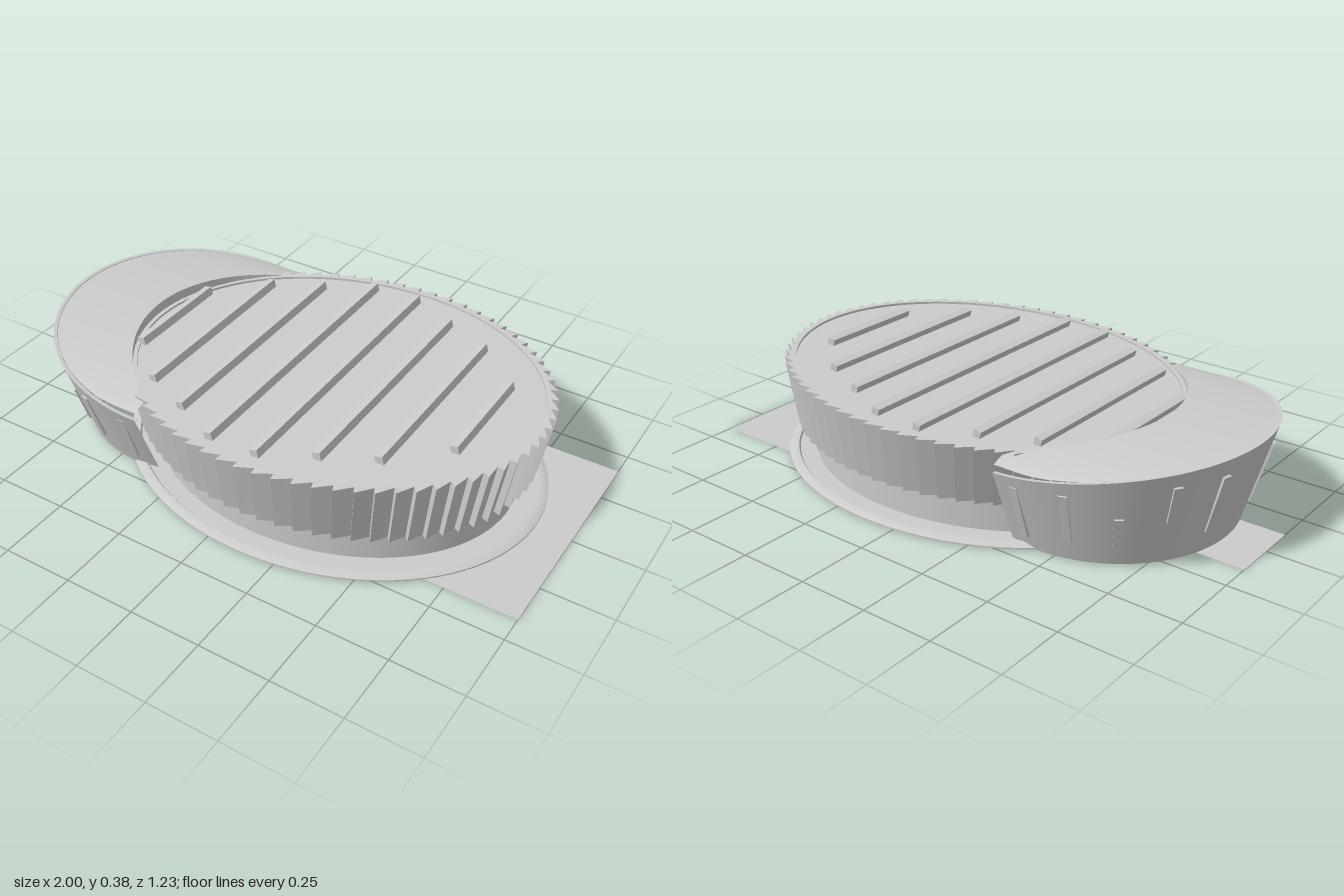
import * as THREE from 'three';
import { toCreasedNormals } from 'three/addons/utils/BufferGeometryUtils.js';

const CX = 0.11;        // centre of the oval hall
const AX = -0.43;       // centre of the round annex
const material = new THREE.MeshStandardMaterial({ color: 0xcccccc, side: THREE.DoubleSide });

// Height of the hall's sloping rim, and of the annex's rim
const rimY = x => 0.3376 + 0.0315 * x;
const annexY = x => 0.36 - 0.137 * (x + 0.96);

// Skin a surface over rows of points of equal length
function loft(rows, crease = 0.6) {
  const n = rows[0].length, index = [];
  for (let r = 0; r < rows.length - 1; r++) {
    for (let i = 0; i < n - 1; i++) {
      const a = r * n + i, b = a + n;
      index.push(a, b, a + 1, a + 1, b, b + 1);
    }
  }
  const g = new THREE.BufferGeometry();
  g.setAttribute('position', new THREE.Float32BufferAttribute(rows.flat(2), 3));
  g.setIndex(index);
  return toCreasedNormals(g, crease);
}

// Closed oval row; y may be a number or a rule of x
function oval(a, b, y, n = 96) {
  return Array.from({ length: n + 1 }, (_, i) => {
    const t = (i / n) * Math.PI * 2, x = CX + a * Math.cos(t);
    return [x, typeof y === 'number' ? y : y(x), b * Math.sin(t)];
  });
}

// Closed saw-tooth row: each panel swings out, then steps back in
const TEETH = 72;
function toothed(a, b, depth, y) {
  const row = [];
  for (let i = 0; i <= TEETH; i++) {
    const t = (i / TEETH) * Math.PI * 2;
    for (const d of [depth, 0]) {
      const x = CX + (a + d) * Math.cos(t);
      row.push([x, typeof y === 'number' ? y : y(x), (b + d) * Math.sin(t)]);
    }
  }
  return row;
}

// Arc of the annex, ending on a straight line at x = -0.34
function annexArc(r, y, n = 64) {
  const start = Math.acos(0.09 / r);
  return Array.from({ length: n + 1 }, (_, i) => {
    const t = start + (i / n) * (Math.PI * 2 - 2 * start);
    const x = AX + r * Math.cos(t);
    return [x, typeof y === 'number' ? y : y(x), r * Math.sin(t)];
  });
}

export function createModel() {
  const model = new THREE.Group();
  const add = (name, geometry, parent = model) => {
    const mesh = new THREE.Mesh(geometry, material);
    mesh.name = name;
    parent.add(mesh);
    return mesh;
  };

  // Ground ring with a small raised lip
  add('plinth', loft([
    oval(0.66, 0.52, 0.003), oval(0.765, 0.615, 0.003), oval(0.765, 0.615, 0.008),
    oval(0.745, 0.597, 0.017), oval(0.73, 0.583, 0.017), oval(0.725, 0.578, 0.01),
    oval(0.66, 0.52, 0.01),
  ]));

  // Recessed ground floor, open below
  add('drum', loft([oval(0.66, 0.52, 0.003), oval(0.66, 0.52, 0.31)]));

  // Flaring pleated upper wall
  const foot = toothed(0.695, 0.553, 0.024, 0.13);
  const head = toothed(0.735, 0.58, 0.026, rimY);
  add('pleatedFacade', loft([foot, head], 0.1));
  add('soffit', loft([toothed(0.66, 0.52, 0, 0.13), foot]));
  add('facadeCap', loft([head, toothed(0.733, 0.578, 0, rimY)]));

  // Sloping oval roof set just below its rim
  const roofY = x => rimY(x) - 0.008;
  add('roof', loft([
    oval(0.735, 0.58, rimY), oval(0.72, 0.567, rimY), oval(0.72, 0.567, roofY), oval(0.001, 0.001, roofY),
  ]));

  // Tilted beams across the roof
  const beams = new THREE.Group();
  beams.name = 'roofBeams';
  model.add(beams);
  [0.2, 0.36, 0.44, 0.525, 0.525, 0.44, 0.36, 0.2].forEach((half, i) => {
    const x = -0.56 + i * 0.1736;
    const beam = add('roofBeam', new THREE.BoxGeometry(0.028, 0.03, half * 2), beams);
    beam.position.set(x, rimY(x) + 0.003, 0);
    beam.rotation.z = 0.25;
  });

  // Annex: leaning wall with a thin top edge
  add('annexWall', loft([
    annexArc(0.43, 0.003), annexArc(0.53, annexY),
    annexArc(0.517, annexY), annexArc(0.515, x => annexY(x) - 0.008),
  ]));

  // Annex roof, arched from side to side and cut along the hall's oval
  const outer = [], inner = [], under = [];
  for (let i = 0; i <= 48; i++) {
    const z = 0.516 * Math.sin((i / 48 - 0.5) * Math.PI);
    const left = AX - Math.sqrt(Math.max(0, 0.516 ** 2 - z * z));
    const cut = Math.min(-0.34, CX - 0.735 * Math.sqrt(1 - (z / 0.58) ** 2));
    const y = annexY(AX - Math.sqrt(0.53 ** 2 - z * z)) - 0.004;
    outer.push([left, y, z]);
    inner.push([cut, y, z]);
    under.push([cut, Math.min(y, rimY(cut) - 0.01), z]);
  }
  add('annexRoof', loft([outer, inner, under]));

  // Narrow upright windows at varied heights round the annex wall
  const windows = new THREE.Group();
  windows.name = 'annexWindows';
  model.add(windows);
  const slots = [[0.15, 0.2], [0.17, 0.19], [0.12, 0.14], [0.23, 0.14], [0.19, 0.22]];
  const lean = Math.atan2(0.1, 0.33);
  slots.forEach(([y, length], i) => {
    for (const side of [1, -1]) {
      const t = side * (1.53 + i * 0.33);
      const pivot = new THREE.Group();
      pivot.name = 'annexWindow';
      pivot.position.x = AX;
      pivot.rotation.y = -t;
      windows.add(pivot);
      const drop = annexY(AX + 0.5 * Math.cos(t));
      const slot = add('windowFrame', new THREE.BoxGeometry(0.012, length, 0.028), pivot);
      slot.position.set(0.43 + 0.1 * y / drop, y, 0);
      slot.rotation.z = -lean;
    }
  });

  // Flat paving at both ends
  [['mainForecourt', 0.57, 1, -0.41, 0.405], ['annexPath', -1, -0.45, -0.138, 0.13]].forEach(
    ([name, x0, x1, z0, z1]) => {
      const slab = add(name, new THREE.PlaneGeometry(x1 - x0, z1 - z0));
      slab.rotation.x = -Math.PI / 2;
      slab.position.set((x0 + x1) / 2, 0, (z0 + z1) / 2);
    });

  return model;
}
